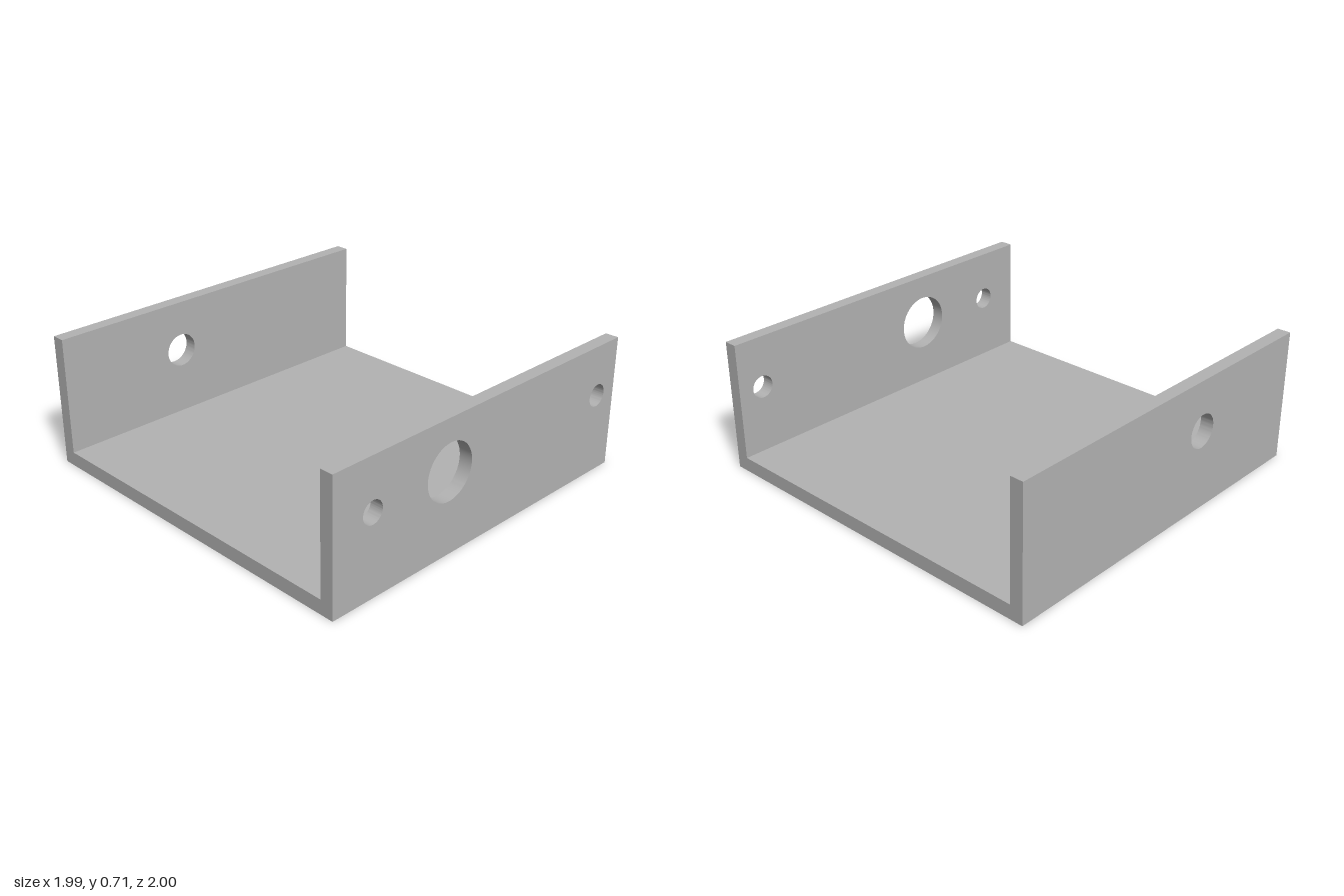
import * as THREE from 'three';
import { toCreasedNormals } from 'three/addons/utils/BufferGeometryUtils.js';

const HALF_X = 0.995, HALF_Z = 1;
const HEIGHT = 0.71, FLOOR = 0.077, WALL = 0.072;
const RECESS = 0.03; // depth of the blind holes under the floor

// Rectangular plate with round holes given as [u, v, radius]
function plate(u0, v0, u1, v1, holes, depth) {
  const shape = new THREE.Shape();
  shape.moveTo(u0, v0).lineTo(u1, v0).lineTo(u1, v1).lineTo(u0, v1).closePath();
  for (const [u, v, r] of holes) {
    shape.holes.push(new THREE.Path().absarc(u, v, r, 0, Math.PI * 2, true));
  }
  const geometry = new THREE.ExtrudeGeometry(shape, { depth, bevelEnabled: false, curveSegments: 40 });
  return toCreasedNormals(geometry, 0.5);
}

export function createModel() {
  const group = new THREE.Group();
  const grey = new THREE.MeshStandardMaterial({ color: 0xb3b3b3 });
  grey.name = 'grey';

  function add(name, geometry, x, y, z) {
    const mesh = new THREE.Mesh(geometry, grey);
    mesh.name = name;
    mesh.position.set(x, y, z);
    group.add(mesh);
  }

  // Lower floor layer with a blind screw hole in each corner
  const corners = [];
  for (const sx of [-1, 1]) {
    for (const sz of [-1, 1]) corners.push([sx * (HALF_X - 0.072), sz * (HALF_Z - 0.074), 0.04]);
  }
  const underside = plate(-HALF_X, -HALF_Z, HALF_X, HALF_Z, corners, RECESS).rotateX(Math.PI / 2);
  add('floorUnderside', underside, 0, RECESS, 0);

  // Upper floor layer closes the holes
  const top = new THREE.BoxGeometry(HALF_X * 2, FLOOR - RECESS, HALF_Z * 2);
  add('floorTop', top, 0, (FLOOR + RECESS) / 2, 0);

  // Side walls, drawn in z and y, extruded towards -x
  const wall = (holes) => plate(-HALF_Z, FLOOR, HALF_Z, HEIGHT, holes, WALL).rotateY(-Math.PI / 2);
  const holeY = 0.435;
  add('leftWall', wall([[0.762, holeY, 0.06], [0.267, holeY, 0.15], [-0.858, holeY, 0.06]]), HALF_X, 0, 0);
  add('rightWall', wall([[0.267, holeY, 0.09]]), -HALF_X + WALL, 0, 0);

  return group;
}
